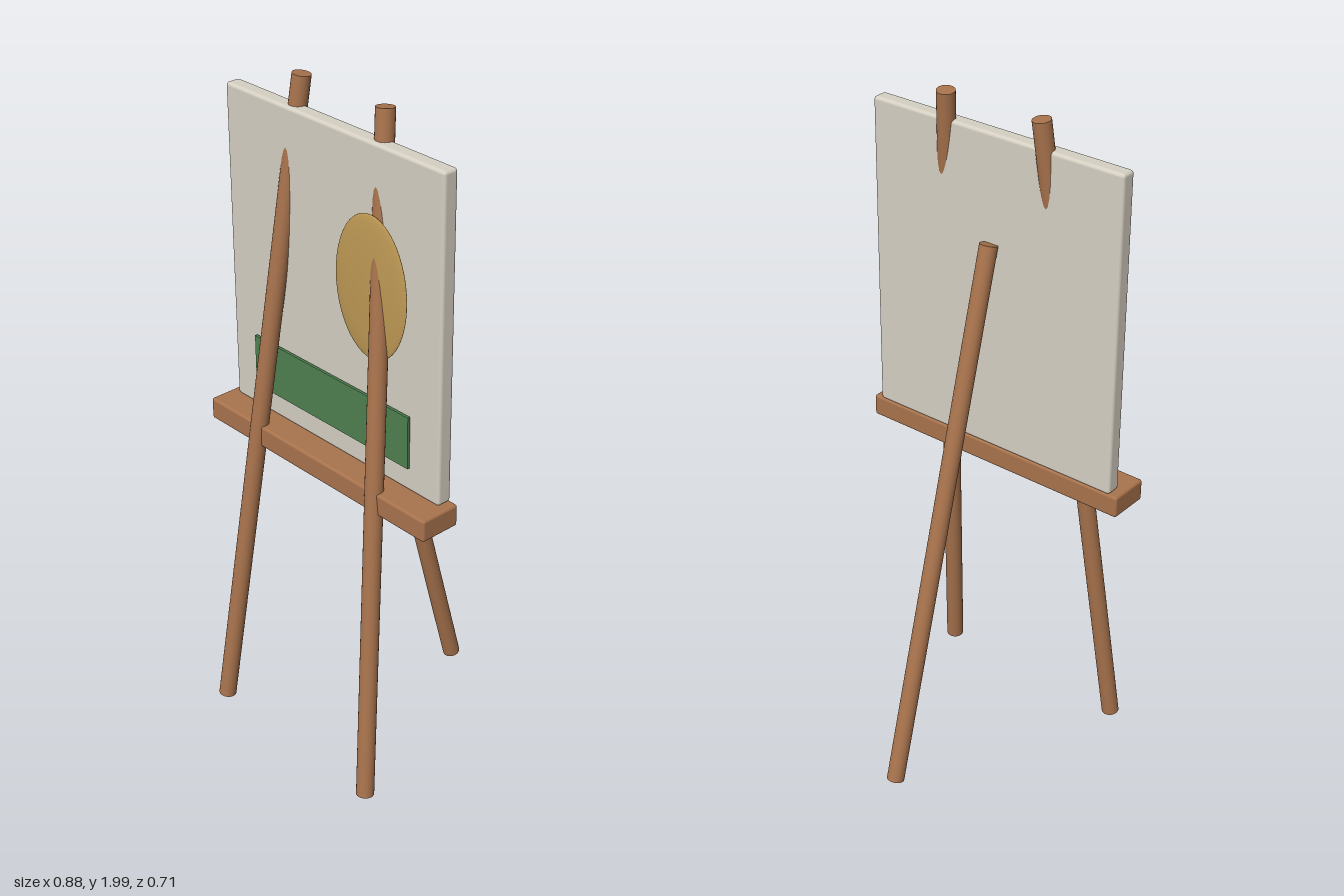
import * as THREE from 'three';
import { RoundedBoxGeometry } from 'three/addons/geometries/RoundedBoxGeometry.js';

export function createModel() {
  const model = new THREE.Group();
  model.name = 'easel';

  const material = (name, color) => {
    const m = new THREE.MeshStandardMaterial({ color });
    m.name = name;
    return m;
  };
  const wood = material('wood', 0xa8734d);
  const canvasWhite = material('canvas white', 0xd6d0c3);
  const green = material('painted green', 0x4f8050);
  const gold = material('painted gold', 0xbf9a55);

  const add = (name, geometry, mat, x, y, z) => {
    const mesh = new THREE.Mesh(geometry, mat);
    mesh.name = name;
    mesh.position.set(x, y, z);
    model.add(mesh);
    return mesh;
  };

  // Round pole running from foot to head
  const pole = (name, foot, head) => {
    const a = new THREE.Vector3(...foot);
    const b = new THREE.Vector3(...head);
    const mid = a.clone().add(b).multiplyScalar(0.5);
    const geometry = new THREE.CylinderGeometry(0.026, 0.026, a.distanceTo(b), 24);
    const mesh = add(name, geometry, wood, mid.x, mid.y, mid.z);
    mesh.quaternion.setFromUnitVectors(new THREE.Vector3(0, 1, 0), b.sub(a).normalize());
  };

  // Two splayed front legs and one rear prop
  for (const [name, s] of [['leftFrontLeg', 1], ['rightFrontLeg', -1]]) {
    pole(name, [0.312 * s, 0.018, 0.326], [0.157 * s, 1.996, 0.109]);
  }
  pole('rearLeg', [0, 0.012, -0.329], [0, 1.605, 0.096]);

  // Ledge and the canvas standing on it
  add('ledge', new RoundedBoxGeometry(0.88, 0.066, 0.126, 2, 0.008), wood, 0, 0.937, 0.172);
  add('canvas', new RoundedBoxGeometry(0.828, 0.947, 0.047, 2, 0.01), canvasWhite, 0, 1.442, 0.133);

  // Painted shapes on the canvas
  add('greenBand', new THREE.BoxGeometry(0.62, 0.156, 0.008), green, 0, 1.123, 0.166);
  const oval = add('goldOval', new THREE.SphereGeometry(1, 40, 24), gold, 0.166, 1.523, 0.167);
  oval.scale.set(0.134, 0.205, 0.011);

  return model;
}
